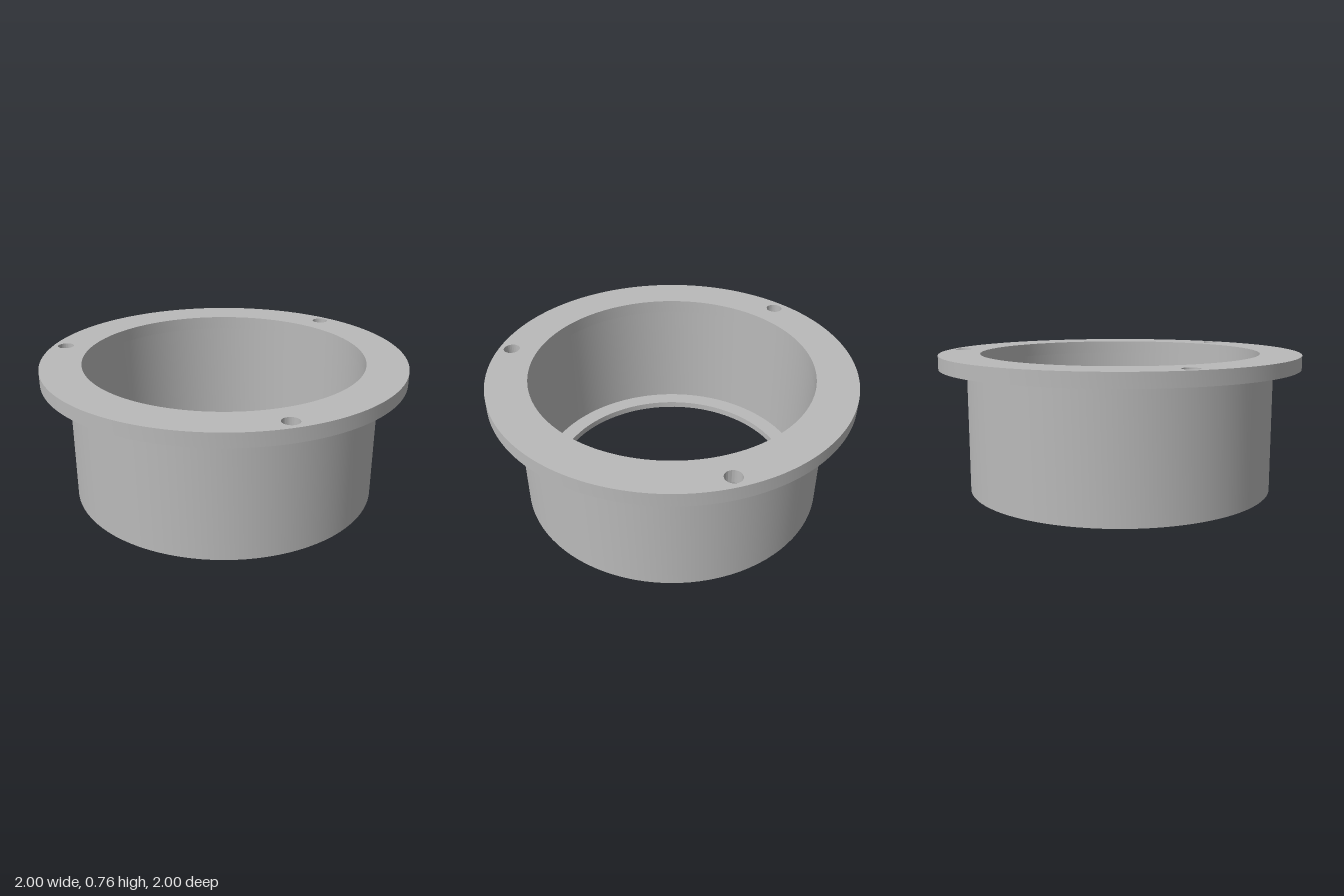
import * as THREE from 'three';
import { toCreasedNormals } from 'three/addons/utils/BufferGeometryUtils.js';

const SEGMENTS = 96;
const FLANGE_BOTTOM = 0.682, TOP = 0.757;

export function createModel() {
  const group = new THREE.Group();
  const grey = new THREE.MeshStandardMaterial({ color: 0xbababa });
  grey.name = 'grey';

  const add = (name, geometry) => {
    const mesh = new THREE.Mesh(toCreasedNormals(geometry, Math.PI / 6), grey);
    mesh.name = name;
    group.add(mesh);
  };

  // Sleeve: bore, inner bottom lip and outer wall, closed on top by the flange
  const profile = [
    [0.787, FLANGE_BOTTOM], [0.787, 0.038], [0.692, 0.038],
    [0.692, 0], [0.85, 0], [0.85, FLANGE_BOTTOM],
  ].map(([r, y]) => new THREE.Vector2(r, y));
  add('sleeve', new THREE.LatheGeometry(profile, SEGMENTS));

  // Flange: flat ring with three evenly spaced bolt holes
  const ring = new THREE.Shape().absarc(0, 0, 1, 0, Math.PI * 2);
  const cutHole = (x, y, r) =>
    ring.holes.push(new THREE.Path().absarc(x, y, r, 0, Math.PI * 2, true));
  cutHole(0, 0, 0.776);
  for (let i = 0; i < 3; i++) {
    const a = (i * Math.PI * 2) / 3;
    cutHole(0.928 * Math.cos(a), 0.928 * Math.sin(a), 0.045);
  }
  const flange = new THREE.ExtrudeGeometry(ring, {
    depth: TOP - FLANGE_BOTTOM, bevelEnabled: false, curveSegments: SEGMENTS,
  });
  flange.rotateX(-Math.PI / 2).translate(0, FLANGE_BOTTOM, 0);
  add('flange', flange);

  return group;
}
